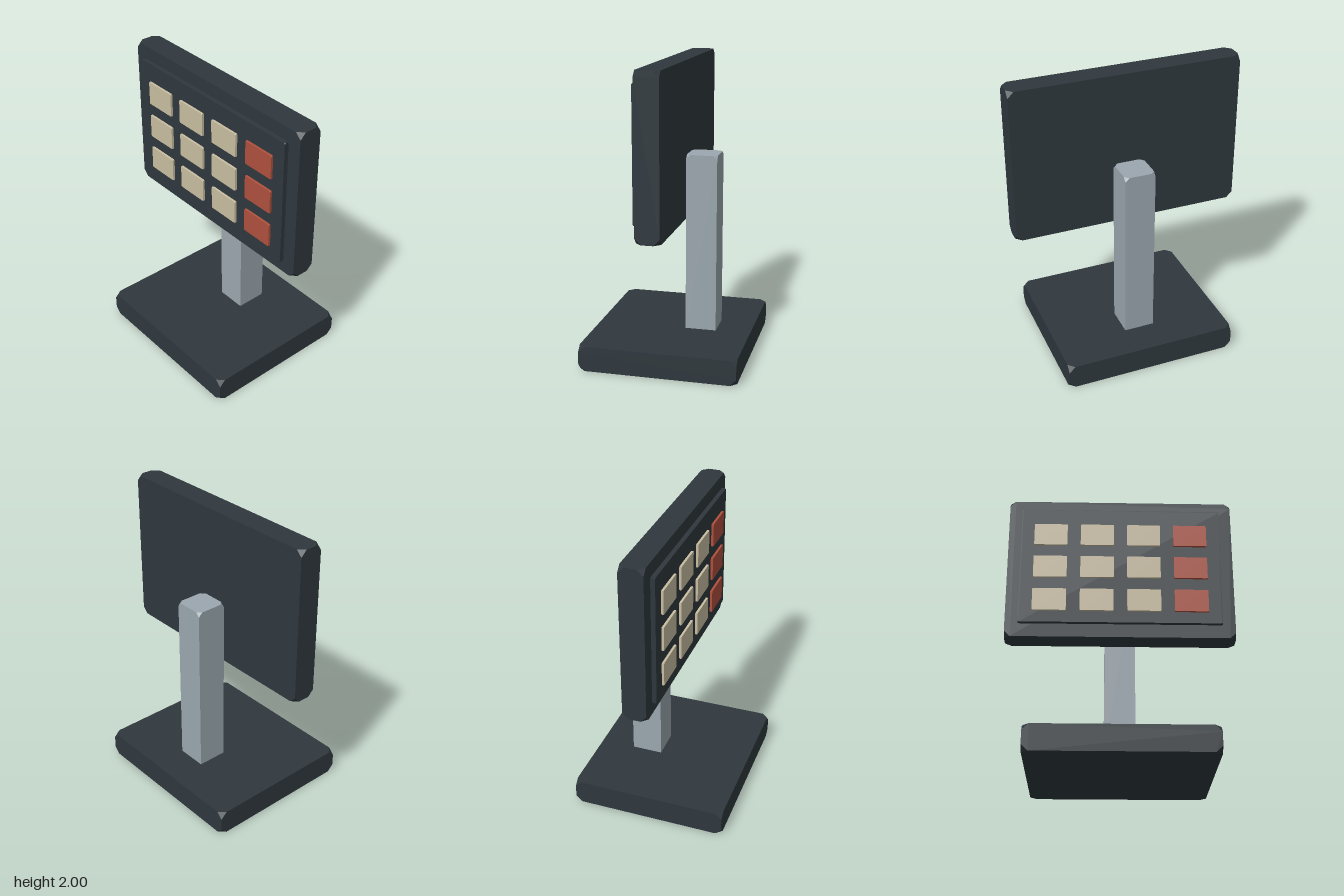
import * as THREE from 'three';
import { ConvexGeometry } from 'three/addons/geometries/ConvexGeometry.js';

// Box whose eight corners are cut off, with the edges between them left sharp
function cutBox(w, h, d, cut) {
  const points = [];
  for (const sx of [-1, 1]) for (const sy of [-1, 1]) for (const sz of [-1, 1]) {
    const x = sx * w / 2, y = sy * h / 2, z = sz * d / 2;
    points.push(
      new THREE.Vector3(x - sx * cut, y, z),
      new THREE.Vector3(x, y - sy * cut, z),
      new THREE.Vector3(x, y, z - sz * cut));
  }
  return new ConvexGeometry(points);
}

export function createModel() {
  const material = (name, color) => {
    const m = new THREE.MeshStandardMaterial({ color });
    m.name = name;
    return m;
  };
  const casing = material('dark casing', 0x2f383e);
  const metal = material('grey metal', 0x9ba7af);
  const cream = material('cream key', 0xc9bea2);
  const red = material('red key', 0xb0503d);

  const model = new THREE.Group();
  model.name = 'keypadStand';
  const add = (name, geometry, mat, x, y, z, parent = model) => {
    const mesh = new THREE.Mesh(geometry, mat);
    mesh.name = name;
    mesh.position.set(x, y, z);
    parent.add(mesh);
  };

  // Stand
  add('base', cutBox(1.195, 0.17, 1.055, 0.042), casing, 0, 0.085, 0);
  add('post', cutBox(0.208, 1.26, 0.21, 0.028), metal, 0, 0.75, -0.185);

  // Head with a raised face plate floating just in front
  add('panel', cutBox(1.56, 1.055, 0.16, 0.04), casing, 0, 1.4725, 0);
  add('facePlate', cutBox(1.38, 0.875, 0.03, 0.008), casing, 0, 1.475, 0.1);

  // Keys: three rows of four, the column at the model's left in red
  const keys = new THREE.Group();
  keys.name = 'keys';
  model.add(keys);
  const keyGeometry = cutBox(0.23, 0.163, 0.016, 0.005);
  for (let row = 0; row < 3; row++) {
    for (let col = 0; col < 4; col++) {
      add(col === 3 ? 'redKey' : 'creamKey', keyGeometry, col === 3 ? red : cream,
        (col - 1.5) * 0.322, 1.705 - row * 0.2525, 0.124, keys);
    }
  }
  return model;
}
